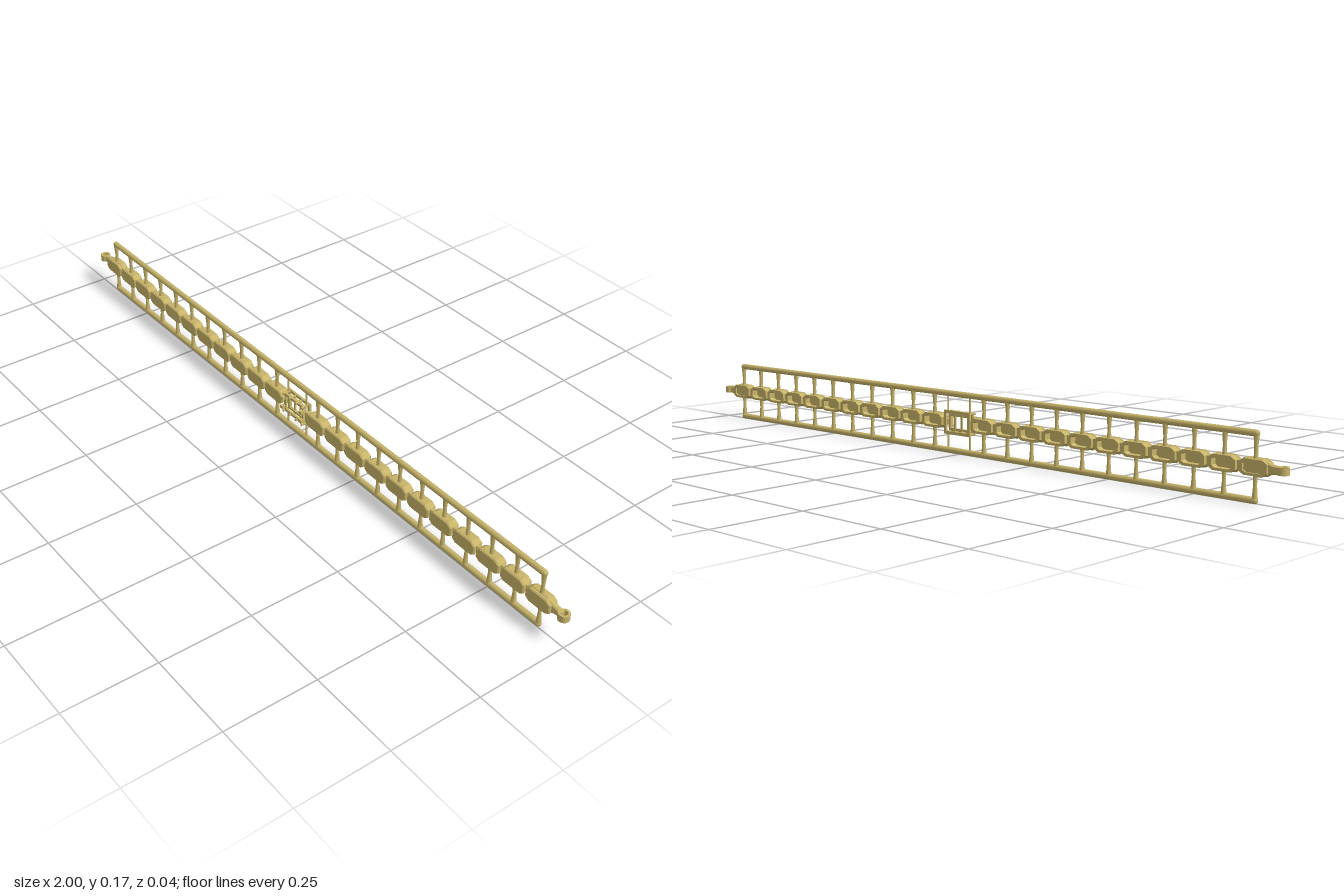
import * as THREE from 'three';

const MID = 0.084;   // height of the centre line
const ZC = -0.004;   // depth of the rails
const PITCH = 0.0825;

export function createModel() {
  const model = new THREE.Group();
  const gold = new THREE.MeshStandardMaterial({ color: 0xc8b46a });
  const add = (name, geo, x, y, z, parent = model) => {
    const mesh = new THREE.Mesh(geo, gold);
    mesh.name = name;
    mesh.position.set(x, y, z);
    parent.add(mesh);
    return mesh;
  };
  const poly = (pts, Type = THREE.Shape) => new Type(pts.map(([x, y]) => new THREE.Vector2(x, y)));
  const octagon = (w, h, cx, cy) => [
    [w, -h + cy], [w, h - cy], [w - cx, h], [cx - w, h],
    [-w, h - cy], [-w, cy - h], [cx - w, -h], [w - cx, -h]];
  const extrude = (shape, depth, bevel = 0) => new THREE.ExtrudeGeometry(shape, {
    depth, bevelEnabled: bevel > 0, bevelSize: bevel, bevelThickness: bevel, bevelOffset: -bevel, bevelSegments: 1, curveSegments: 10 });

  // Link: bevelled front plate over a hollow rim, open at the back
  const outline = octagon(0.039, 0.0205, 0.013, 0.009);
  const rimShape = poly(outline.map(([x, y]) => [x * 0.94, y * 0.92]));
  rimShape.holes.push(poly(octagon(0.027, 0.0125, 0.008, 0.005).reverse(), THREE.Path));
  const rimGeo = extrude(rimShape, 0.019);
  const plateGeo = extrude(poly(outline), 0.004, 0.003);

  // End link: the same plate drawn out to a narrow tongue
  const tongue = [[-0.039, -0.011], [-0.026, -0.0205], [0.02, -0.0205], [0.045, -0.011], [0.066, -0.008],
    [0.066, 0.008], [0.045, 0.011], [0.02, 0.0205], [-0.026, 0.0205], [-0.039, 0.011]];
  const tongueGeo = extrude(poly(tongue), 0.009, 0.003);

  // Eye with a vertical bore
  const ring = new THREE.Shape().absarc(0, 0, 0.0145, 0, Math.PI * 2);
  ring.holes.push(new THREE.Path().absarc(0, 0, 0.0085, 0, Math.PI * 2, true));
  const eyeGeo = extrude(ring, 0.018).rotateX(-Math.PI / 2);

  // Waisted strut between link and rail
  const strutGeo = new THREE.LatheGeometry(
    [[0.0065, 0], [0.005, 0.012], [0.0045, 0.026], [0.006, 0.046], [0.0075, 0.061]]
      .map(([x, y]) => new THREE.Vector2(x, y)), 10);
  const pinGeo = new THREE.CylinderGeometry(0.0065, 0.0065, 0.022, 10);
  const jointGeo = new THREE.BoxGeometry(0.026, 0.013, 0.008);

  for (const s of [-1, 1]) {
    for (let k = 0; k <= 10; k++) {
      const x = s * (0.09 + PITCH * k);
      const link = new THREE.Group();
      link.name = k === 10 ? 'endLink' : 'link';
      link.position.set(x, MID, 0);
      model.add(link);
      add('linkRim', rimGeo, 0, 0, -0.017, link);
      add('linkPlate', plateGeo, 0, 0, 0.004, link);
      add('hingePin', pinGeo, -s * PITCH / 2, 0, ZC, link);
      add('hingeJoint', jointGeo, -s * PITCH / 2, 0, ZC, link);
      if (k === 10) {
        const t = add('tongue', tongueGeo, 0, 0, -0.009, link);
        if (s < 0) { t.rotation.y = Math.PI; t.position.z = 0; }
        add('endEye', eyeGeo, s * 0.0705, -0.009, ZC, link);
      }
      for (const v of [-1, 1]) {
        const strut = add('strut', strutGeo, 0, v * 0.015, ZC, link);
        if (v < 0) strut.rotation.x = Math.PI;
      }
    }
    // Long rail with rounded ends
    add('rail', new THREE.CapsuleGeometry(0.008, 1.83, 4, 12).rotateZ(Math.PI / 2), 0, MID + s * 0.076, ZC);
  }

  // Central open setting: stacked square frames joined by posts
  const setting = new THREE.Group();
  setting.name = 'centralSetting';
  setting.position.y = MID;
  model.add(setting);
  const frame = (w, h, t) => {
    const shape = poly([[-w, -h], [w, -h], [w, h], [-w, h]]);
    const a = w - t, b = h - t;
    shape.holes.push(poly([[-a, -b], [-a, b], [a, b], [a, -b]], THREE.Path));
    return extrude(shape, 0.006);
  };
  add('backFrame', frame(0.047, 0.032, 0.008), 0, 0, -0.014, setting);
  add('frontFrame', frame(0.042, 0.029, 0.008), 0, 0, 0.003, setting);
  add('innerFrame', frame(0.036, 0.022, 0.006), 0, 0, -0.006, setting);
  const postGeo = new THREE.CylinderGeometry(0.0035, 0.0035, 0.028, 8).rotateX(Math.PI / 2);
  const clawGeo = new THREE.BoxGeometry(0.01, 0.009, 0.016);
  const barGeo = new THREE.BoxGeometry(0.005, 0.05, 0.005);
  const thinGeo = new THREE.CylinderGeometry(0.0025, 0.0025, 0.05, 8);
  for (const s of [-1, 1]) {
    add('crossBar', barGeo, s * 0.012, 0, -0.006, setting);
    for (const v of [-1, 1]) {
      add('thinStrut', thinGeo, s * 0.04, v * 0.051, ZC, setting);
      add('claw', clawGeo, s * 0.041, v * 0.014, 0.011, setting);
      for (const x of [0.014, 0.04])
        add('post', postGeo, s * x, v * 0.027, 0, setting);
    }
  }
  return model;
}
